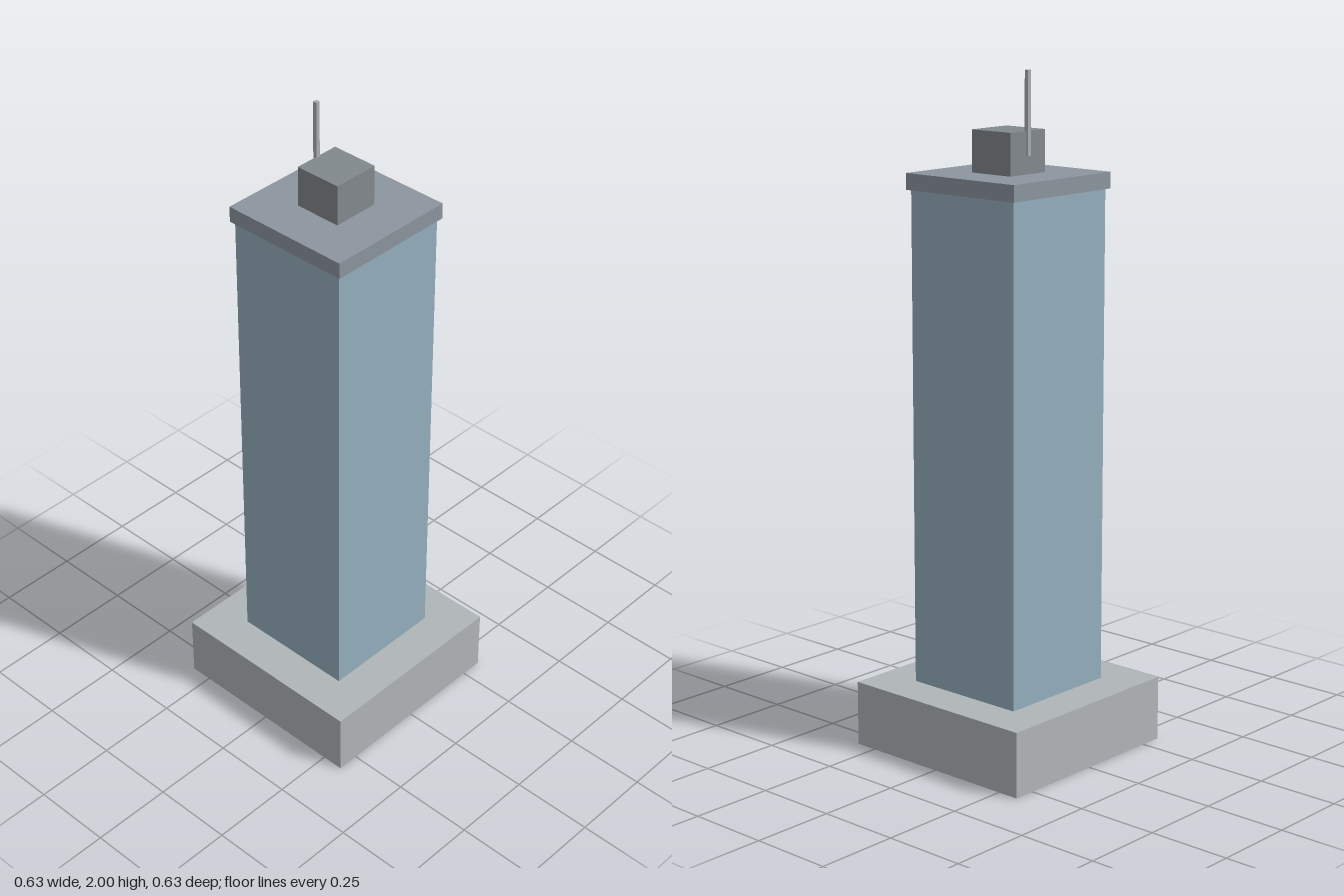
import * as THREE from 'three';

export function createModel() {
  const group = new THREE.Group();

  // Square block of a given width, spanning bottom to top
  function block(name, width, bottom, top, color, x = 0) {
    const mesh = new THREE.Mesh(
      new THREE.BoxGeometry(width, top - bottom, width),
      new THREE.MeshStandardMaterial({ color })
    );
    mesh.name = name;
    mesh.position.set(x, (bottom + top) / 2, 0);
    group.add(mesh);
  }

  block('podium', 0.634, 0, 0.195, 0xb0b5b8);
  // The shaft runs down inside the podium
  block('towerShaft', 0.39, 0.002, 1.66, 0x94aebd);
  block('roofSlab', 0.41, 1.66, 1.708, 0x8c969e);
  block('roofPlantRoom', 0.146, 1.708, 1.83, 0x82898d);
  // Mast fixed to the side of the plant room
  block('antenna', 0.0125, 1.76, 2, 0xaaaeb0, -0.073);

  return group;
}
